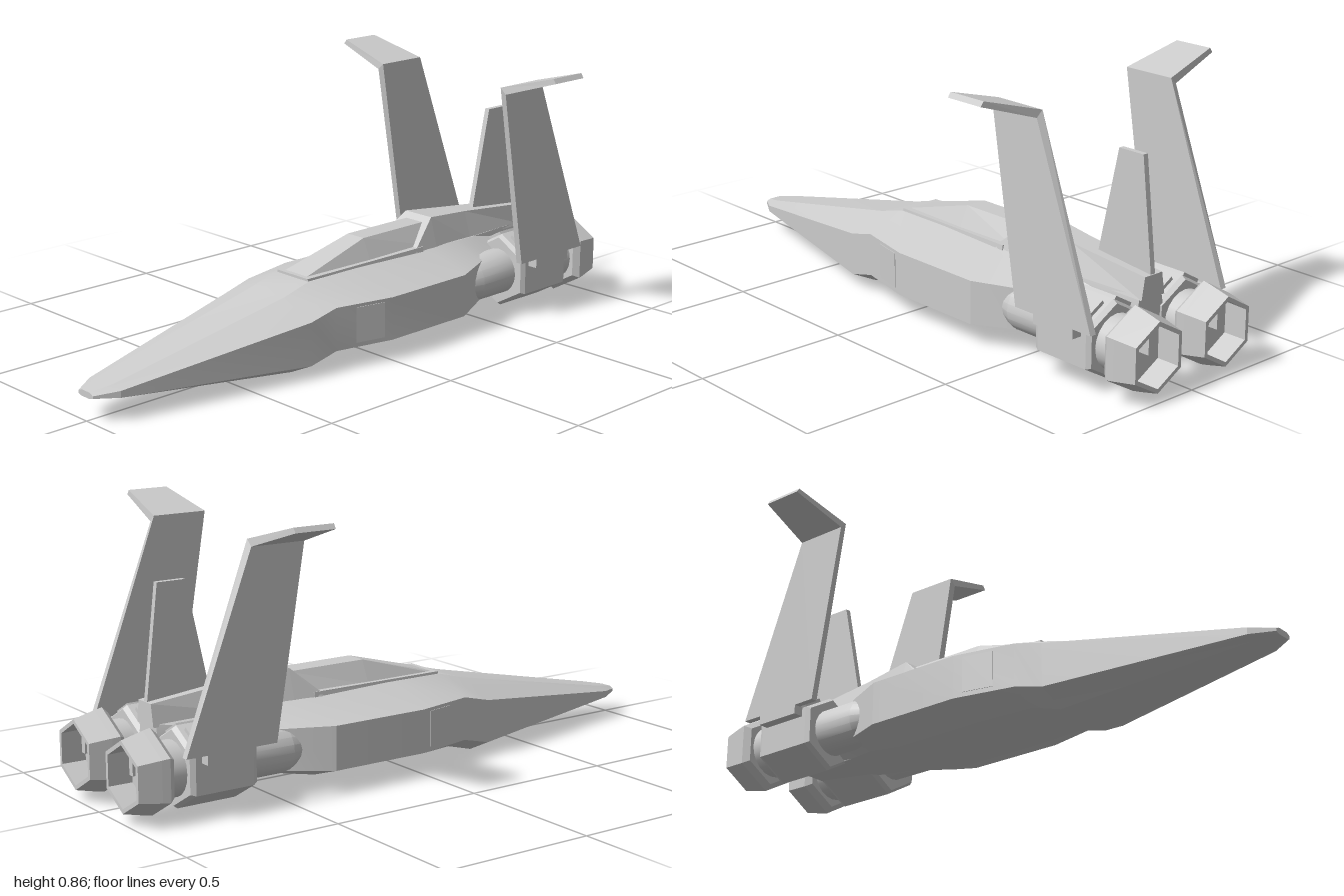
import * as THREE from 'three';
import { toCreasedNormals } from 'three/addons/utils/BufferGeometryUtils.js';

const flat = new THREE.MeshStandardMaterial({ color: 0xcccccc, flatShading: true, side: THREE.DoubleSide });
const smooth = new THREE.MeshStandardMaterial({ color: 0xcccccc, side: THREE.DoubleSide });

function add(parent, name, geometry, material = flat) {
  const mesh = new THREE.Mesh(geometry, material);
  mesh.name = name;
  parent.add(mesh);
  return mesh;
}

// Skin a closed solid over rings of [x, y, z] points, capped at both ends
function loft(rings) {
  const n = rings[0].length;
  const index = [];
  for (let r = 0; r < rings.length - 1; r++) {
    for (let i = 0; i < n; i++) {
      const j = (i + 1) % n, a = r * n, b = a + n;
      index.push(a + i, b + i, a + j, a + j, b + i, b + j);
    }
  }
  const last = (rings.length - 1) * n;
  for (let i = 1; i < n - 1; i++) {
    index.push(0, i, i + 1, last, last + i + 1, last + i);
  }
  const g = new THREE.BufferGeometry();
  g.setAttribute('position', new THREE.Float32BufferAttribute(rings.flat(2), 3));
  g.setIndex(index);
  return g;
}

// Eight-sided hull section: chine width and heights, top flat, bottom flat
const hullRing = ([z, w, yu, t, yt, yl, b, yb]) => [
  [w, yl, z], [w, yu, z], [t, yt, z], [-t, yt, z],
  [-w, yu, z], [-w, yl, z], [-b, yb, z], [b, yb, z],
];

// Trapezoid section for canopy, rim and spine
const trapRing = ([z, w, y0, t, y1]) => [[w, y0, z], [t, y1, z], [-t, y1, z], [-w, y0, z]];

// Profile of [radius, z] turned about the z axis, with a corner at the top
function turned(profile, sides) {
  const pts = profile.map(([r, z]) => new THREE.Vector2(r, -z));
  return new THREE.LatheGeometry(pts, sides).rotateX(-Math.PI / 2);
}

function createEngineSide() {
  const side = new THREE.Group();
  const engine = new THREE.Group();
  engine.name = 'engine';
  engine.position.set(0.145, 0.142, 0);
  side.add(engine);

  const nacelle = turned([[0, -0.37], [0.045, -0.37], [0.076, -0.46], [0.076, -0.63]], 20);
  add(engine, 'nacelle', toCreasedNormals(nacelle, 0.4), smooth);
  add(engine, 'engineHousing', turned([
    [0, -0.61], [0.115, -0.61], [0.125, -0.625], [0.125, -0.82], [0.115, -0.835], [0, -0.835],
  ], 6));
  const neck = turned([[0.085, -0.83], [0.085, -0.9]], 20);
  add(engine, 'nozzleNeck', neck, smooth);
  add(engine, 'nozzle', turned([
    [0, -0.885], [0.112, -0.885], [0.131, -0.905], [0.126, -0.93], [0.109, -1],
    [0.095, -1], [0.098, -0.92], [0, -0.92],
  ], 6));
  add(engine, 'nozzleVane', new THREE.BoxGeometry(0.02, 0.09, 0.05)).position.set(0, 0.045, -0.945);

  // Cover plates on the two upper housing faces
  for (const s of [-1, 1]) {
    const plate = add(engine, 'housingPlate', new THREE.BoxGeometry(0.075, 0.016, 0.16));
    plate.position.set(s * 0.056, 0.097, -0.725);
    plate.rotation.z = -s * Math.PI / 6;
  }

  // Swept fin with its tip bent outward
  const finRing = (xi, yi, xo, yo, lead, trail) => [[xi, yi, trail], [xo, yo, trail], [xo, yo, lead], [xi, yi, lead]];
  add(side, 'sideFin', loft([
    finRing(0.265, 0.205, 0.287, 0.205, -0.565, -0.87),
    finRing(0.265, 0.81, 0.287, 0.79, -0.465, -0.645),
    finRing(0.465, 0.865, 0.475, 0.85, -0.485, -0.62),
  ]));
  add(side, 'finMount', new THREE.BoxGeometry(0.052, 0.032, 0.16)).position.set(0.261, 0.191, -0.72);

  // Intake panel on the flared flank
  const panel = add(side, 'intakePanel', new THREE.BoxGeometry(0.006, 0.115, 0.103));
  panel.position.set(0.231, 0.142, 0.08);
  panel.rotation.y = -0.221;
  return side;
}

export function createModel() {
  const model = new THREE.Group();
  model.name = 'spaceFighter';

  const hull = loft([
    [1, 0.035, 0.088, 0.02, 0.095, 0.08, 0.02, 0.075],
    [0.93, 0.075, 0.097, 0.04, 0.109, 0.076, 0.04, 0.068],
    [0.3, 0.2, 0.185, 0.075, 0.235, 0.045, 0.11, 0.002],
    [0.2, 0.205, 0.21, 0.075, 0.262, 0.07, 0.12, 0.03],
    [0, 0.25, 0.21, 0.08, 0.265, 0.07, 0.13, 0.03],
    [-0.33, 0.25, 0.21, 0.08, 0.265, 0.07, 0.13, 0.03],
    [-0.47, 0.19, 0.21, 0.08, 0.26, 0.08, 0.11, 0.055],
    [-0.57, 0.13, 0.21, 0.07, 0.255, 0.085, 0.09, 0.06],
    [-0.83, 0.055, 0.2, 0.045, 0.25, 0.1, 0.045, 0.08],
  ].map(hullRing));
  add(model, 'hull', toCreasedNormals(hull, 0.3), smooth);

  add(model, 'canopyRim', loft([
    [0.195, 0.072, 0.25, 0.07, 0.27],
    [-0.3, 0.094, 0.25, 0.09, 0.277],
  ].map(trapRing)));
  add(model, 'canopy', loft([
    [0.18, 0.055, 0.265, 0.05, 0.27],
    [-0.08, 0.07, 0.265, 0.036, 0.34],
    [-0.36, 0.075, 0.265, 0.036, 0.34],
  ].map(trapRing)));

  // Spine rising behind the canopy and tapering to the tail
  add(model, 'spine', loft([
    [-0.27, 0.095, 0.255, 0.088, 0.272],
    [-0.37, 0.088, 0.25, 0.058, 0.357],
    [-0.55, 0.07, 0.25, 0.042, 0.34],
    [-0.84, 0.048, 0.24, 0.036, 0.31],
  ].map(trapRing)));

  // Upright tail fin
  const outline = new THREE.Shape([
    [0.62, 0.3], [0.7, 0.662], [0.795, 0.662], [0.838, 0.3],
  ].map(([z, y]) => new THREE.Vector2(z, y)));
  const fin = new THREE.ExtrudeGeometry(outline, { depth: 0.018, bevelEnabled: false });
  add(model, 'tailFin', fin.translate(0, 0, -0.009).rotateY(Math.PI / 2));

  // Left side and its mirror image
  for (const s of [1, -1]) {
    const side = createEngineSide();
    side.name = s > 0 ? 'leftSide' : 'rightSide';
    side.scale.x = s;
    model.add(side);
  }
  return model;
}
